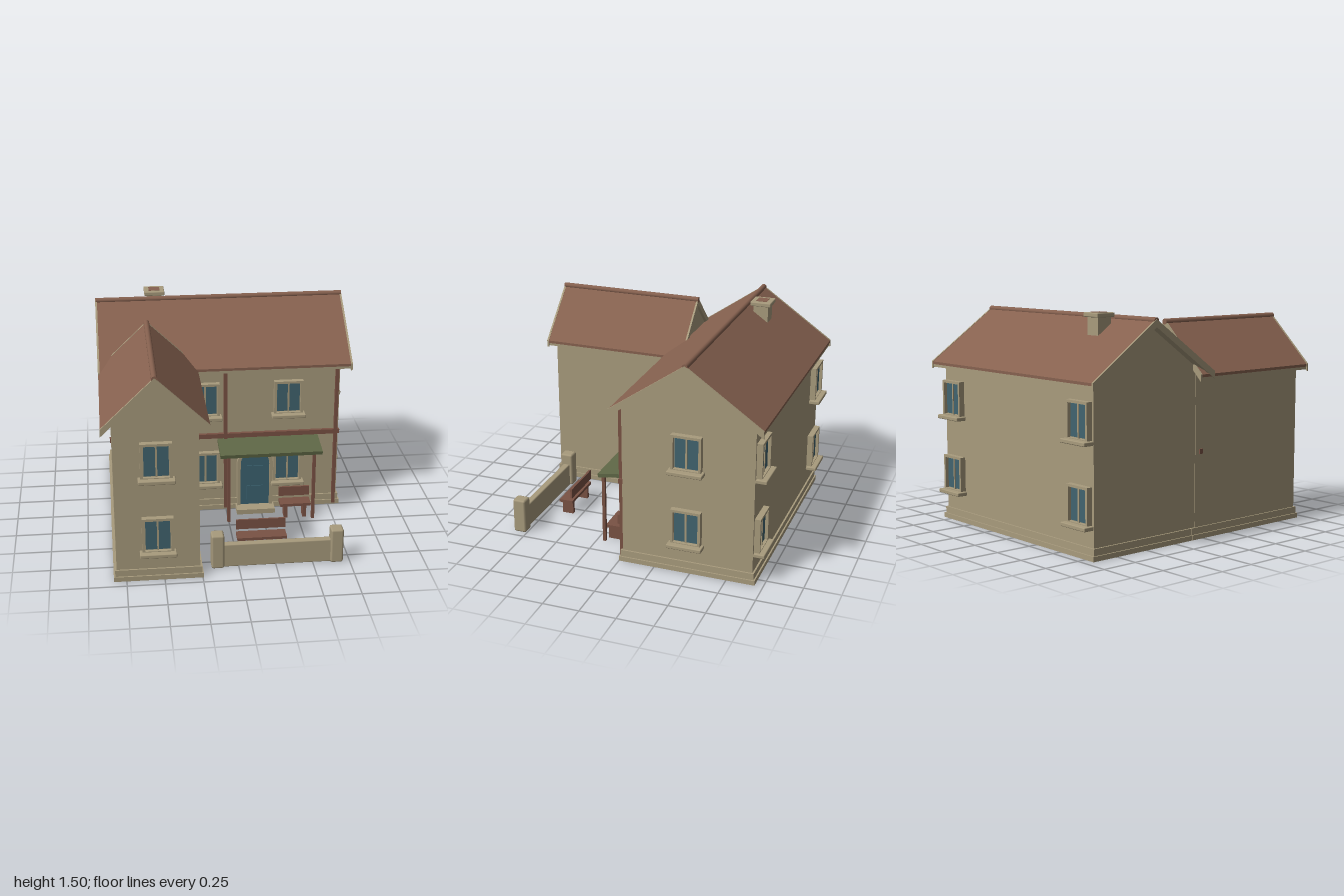
import * as THREE from 'three';
import { RoundedBoxGeometry } from 'three/addons/geometries/RoundedBoxGeometry.js';

const mat = (name, color) => {
  const m = new THREE.MeshStandardMaterial({ color });
  m.name = name;
  return m;
};

export function createModel() {
  const stone = mat('stone', 0xa89b7d);
  const tile = mat('roofTile', 0x86614f);
  const wood = mat('wood', 0x7a5244);
  const green = mat('canopyGreen', 0x5f6846);
  const glass = mat('glass', 0x41646f);
  const teal = mat('doorTeal', 0x3b6270);
  const house = new THREE.Group();
  house.name = 'house';

  const add = (parent, name, geo, material, x = 0, y = 0, z = 0) => {
    const m = new THREE.Mesh(geo, material);
    m.name = name;
    m.position.set(x, y, z);
    parent.add(m);
    return m;
  };
  // box given by its minimum and maximum on each axis
  const box = (parent, name, material, x0, x1, y0, y1, z0, z1, r = 0) => {
    const s = [x1 - x0, y1 - y0, z1 - z0];
    const geo = r ? new RoundedBoxGeometry(...s, 1, r) : new THREE.BoxGeometry(...s);
    return add(parent, name, geo, material, (x0 + x1) / 2, (y0 + y1) / 2, (z0 + z1) / 2);
  };
  const extrude = (shape, depth) =>
    new THREE.ExtrudeGeometry(shape, { depth, bevelEnabled: false, curveSegments: 16 });
  const poly = (pts) => new THREE.Shape(pts.map(([x, y]) => new THREE.Vector2(x, y)));
  const chevron = (half, eave, apex, thick) => poly([
    [-half, eave - thick], [0, apex - thick], [half, eave - thick],
    [half, eave], [0, apex], [-half, eave]]);

  // Gabled block whose ridge runs along local z
  function gabled(name, { wall, half, eave, apex, wallZ, roofZ, barges }) {
    const g = new THREE.Group();
    g.name = name;
    const slope = (apex - eave) / half;
    const top = apex - 0.038;
    const body = poly([[-wall, 0], [wall, 0], [wall, top - wall * slope], [0, top], [-wall, top - wall * slope]]);
    add(g, 'walls', extrude(body, wallZ[1] - wallZ[0]), stone, 0, 0, wallZ[0]);
    const len = roofZ[1] - roofZ[0];
    add(g, 'roof', extrude(chevron(half, eave, apex, 0.018), len), tile, 0, 0, roofZ[0]);
    add(g, 'eaves', extrude(chevron(half - 0.004, eave - 0.015, apex - 0.018, 0.022), len - 0.004),
      stone, 0, 0, roofZ[0] + 0.002);
    for (const z of barges)
      add(g, 'bargeBoard', extrude(chevron(half + 0.002, eave + 0.002, apex + 0.002, 0.05), 0.013), stone, 0, 0, z);
    const ridge = add(g, 'ridgeTile', new THREE.CylinderGeometry(0.02, 0.02, len + 0.01, 10), tile,
      0, apex - 0.007, (roofZ[0] + roofZ[1]) / 2);
    ridge.rotation.x = Math.PI / 2;
    house.add(g);
    return g;
  }
  const main = gabled('mainBlock', {
    wall: 0.45, half: 0.514, eave: 1.113, apex: 1.472,
    wallZ: [-0.81, 0.81], roofZ: [-0.878, 0.878], barges: [-0.885, 0.872] });
  main.rotation.y = Math.PI / 2;
  main.position.z = -0.471;
  const wing = gabled('frontWing', {
    wall: 0.274, half: 0.343, eave: 1.1, apex: 1.431,
    wallZ: [-0.06, 0.92], roofZ: [-0.08, 0.96], barges: [-0.084, 0.953] });
  wing.position.x = -0.54;

  // Stepped plinth around both blocks
  for (const [out, y0, y1] of [[0.022, 0, 0.033], [0.012, 0.033, 0.078]]) {
    box(house, 'mainPlinth', stone, -0.81 - out, 0.81 + out, y0, y1, -0.921 - out, -0.021 + out);
    box(house, 'wingPlinth', stone, -0.812 - out, -0.266 + out, y0 + 0.0005, y1 + 0.0005, -0.1, 0.92 + out);
  }

  // Windows: raised frame, two panes, mullion and sill
  const frame = poly([[-0.103, -0.12], [0.103, -0.12], [0.103, 0.12], [-0.103, 0.12]]);
  frame.holes.push(new THREE.Path(
    [[-0.085, -0.115], [-0.085, 0.103], [0.085, 0.103], [0.085, -0.115]].map(([x, y]) => new THREE.Vector2(x, y))));
  const frameGeo = extrude(frame, 0.04);
  function windowAt(x, y, z, turn = 0) {
    const w = new THREE.Group();
    w.name = 'window';
    add(w, 'windowFrame', frameGeo, stone);
    for (const s of [-1, 1])
      box(w, 'pane', glass, s * 0.043 - 0.037, s * 0.043 + 0.037, -0.11, 0.098, 0, 0.02);
    box(w, 'windowBacking', stone, -0.087, 0.087, -0.117, 0.105, 0, 0.014);
    box(w, 'mullion', stone, -0.006, 0.006, -0.115, 0.103, 0, 0.026);
    box(w, 'sill', stone, -0.12, 0.12, -0.149, -0.122, 0, 0.076, 0.006);
    w.position.set(x, y, z);
    w.rotation.y = turn;
    house.add(w);
  }
  for (const y of [0.34, 0.868]) {
    windowAt(-0.54, y, 0.92);
    windowAt(-0.148, y, -0.021);
    windowAt(0.443, y, -0.021);
    windowAt(0.81, y, -0.471, Math.PI / 2);
    windowAt(-0.69, y, -0.921, Math.PI);
    windowAt(0.69, y, -0.921, Math.PI);
  }

  // Arched door with stone surround and step
  const door = new THREE.Group();
  door.name = 'door';
  door.position.set(0.208, 0.03, -0.021);
  house.add(door);
  const arch = (r, spring) => {
    const s = new THREE.Shape();
    s.moveTo(r, 0);
    s.lineTo(r, spring);
    s.absarc(0, spring, r, 0, Math.PI, false);
    s.lineTo(-r, 0);
    return s;
  };
  const ro = 0.128, ri = 0.104, spring = 0.335;
  const ring = new THREE.Shape();
  ring.moveTo(-ro, 0);
  ring.lineTo(-ro, spring);
  ring.absarc(0, spring, ro, Math.PI, 0, true);
  ring.lineTo(ro, 0);
  ring.lineTo(ri, 0);
  ring.lineTo(ri, spring);
  ring.absarc(0, spring, ri, 0, Math.PI, false);
  ring.lineTo(-ri, 0);
  add(door, 'doorSurround', extrude(ring, 0.045), stone);
  add(door, 'doorLeaf', extrude(arch(ri, spring - 0.01), 0.03), teal);
  for (const y of [0.04, 0.2])
    box(door, 'doorPanel', teal, -0.058, 0.058, y, y + 0.115, 0.03, 0.037);
  box(house, 'doorStep', stone, 0.07, 0.345, 0, 0.035, -0.02, 0.1);

  // Timber frame on the main front
  box(house, 'timberBeam', wood, -0.822, 0.815, 0.567, 0.6, -0.025, 0.004);
  for (const x of [-0.002, 0.788])
    box(house, 'timberPost', wood, x - 0.012, x + 0.012, 0.01, 1.095, -0.025, 0.005);

  // Porch canopy on two posts
  const canopy = add(house, 'canopy', new THREE.BoxGeometry(0.72, 0.026, 0.238), green, 0.3, 0.535, 0.098);
  canopy.rotation.x = 0.14;
  for (const x of [0, 0.604])
    box(house, 'porchPost', wood, x - 0.011, x + 0.011, 0, 0.518, 0.185, 0.207);

  // Benches
  function bench(x0, x1, z) {
    const b = new THREE.Group();
    b.name = 'bench';
    box(b, 'benchSeat', wood, x0, x1, 0.095, 0.115, z, z + 0.1);
    box(b, 'benchBack', wood, x0, x1, 0.138, 0.208, z, z + 0.014);
    for (const x of [x0 + 0.03, x1 - 0.055])
      box(b, 'benchLeg', wood, x, x + 0.025, 0, 0.095, z + 0.008, z + 0.09);
    house.add(b);
  }
  bench(0.01, 0.35, 0.553);
  bench(0.37, 0.59, 0.093);

  // Garden wall with two piers
  box(house, 'gardenWall', stone, -0.13, 0.65, 0, 0.167, 0.775, 0.824, 0.008);
  for (const x of [-0.141, 0.66])
    box(house, 'gardenPier', stone, x - 0.043, x + 0.043, 0, 0.246, 0.753, 0.845, 0.014);

  // Chimney
  box(house, 'chimneyStack', stone, -0.514, -0.408, 1.3, 1.475, -0.636, -0.53);
  box(house, 'chimneyCap', stone, -0.533, -0.389, 1.473, 1.502, -0.657, -0.511, 0.006);
  box(house, 'chimneyFlue', tile, -0.5, -0.422, 1.5, 1.505, -0.622, -0.544);

  return house;
}
